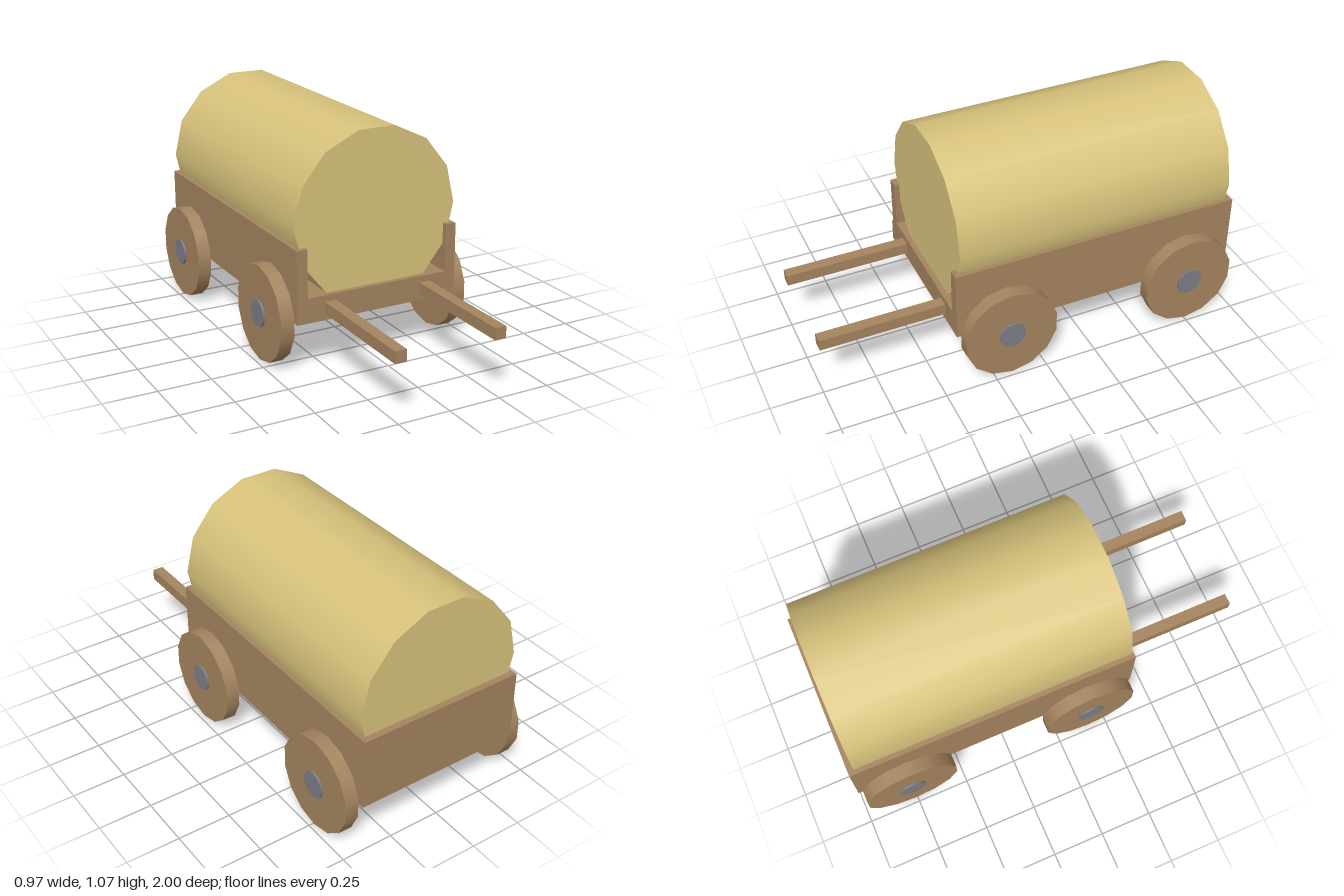
import * as THREE from 'three';

const wood = new THREE.MeshStandardMaterial({ name: 'wood', color: 0xa5845f });
const canvas = new THREE.MeshStandardMaterial({ name: 'canvas', color: 0xd8c37c });
const metal = new THREE.MeshStandardMaterial({ name: 'metal', color: 0x7c7e86 });

const SIDES = 14;

export function createModel() {
  const model = new THREE.Group();
  model.name = 'coveredWagon';

  const add = (name, geometry, material, parent = model) => {
    const mesh = new THREE.Mesh(geometry, material);
    mesh.name = name;
    parent.add(mesh);
    return mesh;
  };

  // Box given by its lower and upper corners
  const box = (name, [x0, y0, z0], [x1, y1, z1]) =>
    add(name, new THREE.BoxGeometry(x1 - x0, y1 - y0, z1 - z0)
      .translate((x0 + x1) / 2, (y0 + y1) / 2, (z0 + z1) / 2), wood);

  // Fourteen-sided cylinder with corners a quarter turn from its seam
  const drum = (radius, length) =>
    new THREE.CylinderGeometry(radius, radius, length, SIDES, 1, false, Math.PI / 2);

  // Wagon bed: U-shaped section run front to back, open at the front
  const section = new THREE.Shape([
    [-0.405, 0.24], [0.405, 0.24], [0.405, 0.583], [0.353, 0.583],
    [0.353, 0.357], [-0.353, 0.357], [-0.353, 0.583], [-0.405, 0.583],
  ].map(([x, y]) => new THREE.Vector2(x, y)));
  add('wagonBed', new THREE.ExtrudeGeometry(section, { depth: 1.405, bevelEnabled: false })
    .translate(0, 0, -1), wood);
  box('tailBoard', [-0.353, 0.357, -1], [0.353, 0.583, -0.945]);

  // Canvas cover
  add('canvasCover', drum(0.405, 1.35).rotateX(Math.PI / 2).translate(0, 0.677, -0.295), canvas);

  for (const side of [-1, 1]) {
    // Pulling shafts
    const x = side * 0.243;
    box('shaft', [x - 0.027, 0.272, 0.4], [x + 0.027, 0.327, 1]);

    // Wheels with metal hubs
    for (const z of [0.165, -0.755]) {
      const wheel = new THREE.Group();
      wheel.name = 'wheel';
      wheel.position.set(side * 0.444, 0.228, z);
      add('wheelDisc', drum(0.228, 0.065).rotateZ(Math.PI / 2), wood, wheel);
      add('hub', drum(0.064, 0.084).rotateZ(Math.PI / 2), metal, wheel);
      model.add(wheel);
    }
  }

  return model;
}
